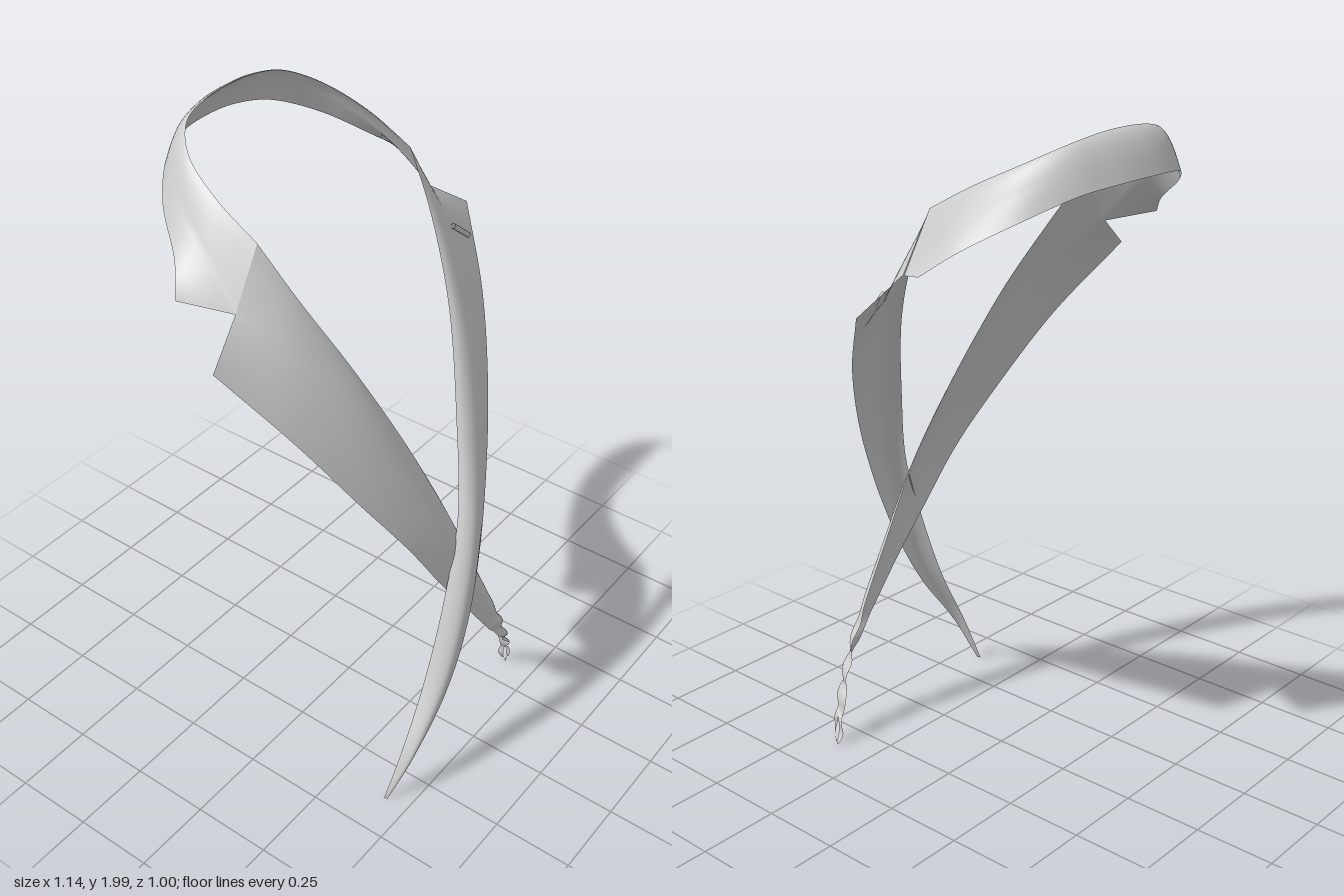
import * as THREE from 'three';

const cloth = new THREE.MeshStandardMaterial({ color: 0xcccccc, side: THREE.DoubleSide });
const V = (p) => new THREE.Vector3(...p);
const curve = (pts) => new THREE.CatmullRomCurve3(pts.map(V));

// Cloth strip lofted from a fold line to an outer edge.
// bend(p, u, v) shapes each point, skip(u, v) leaves out a cell.
function strip(name, fold, edge, nu, nv, bend, { flip = false, skip = () => false } = {}) {
  const a = curve(fold), b = curve(edge), pos = [], idx = [];
  for (let i = 0; i <= nu; i++) {
    const u = i / nu, pa = a.getPoint(u), pb = b.getPoint(u);
    for (let j = 0; j <= nv; j++) {
      const p = pa.clone().lerp(pb, j / nv);
      bend(p, u, j / nv);
      pos.push(p.x, p.y, p.z);
    }
  }
  for (let i = 0; i < nu; i++) for (let j = 0; j < nv; j++) {
    if (skip((i + 0.5) / nu, (j + 0.5) / nv)) continue;
    const k = i * (nv + 1) + j, n = k + nv + 1;
    if (flip) idx.push(k, k + 1, n, k + 1, n + 1, n);
    else idx.push(k, n, k + 1, k + 1, n, n + 1);
  }
  const g = new THREE.BufferGeometry();
  g.setAttribute('position', new THREE.Float32BufferAttribute(pos, 3));
  g.setIndex(idx);
  g.computeVertexNormals();
  const mesh = new THREE.Mesh(g, cloth);
  mesh.name = name;
  return mesh;
}

// Tent across the strip, peaking at v = m, used to pull the end into a notch
const tent = (v, m) => (v < m ? v / m : (1 - v) / (1 - m));
// Rounded roll that is fullest near the fold
const roll = (v) => Math.sin(Math.PI * Math.pow(v, 0.7));

const mirrored = (half) => [...half.slice(1).reverse().map(([x, y, z]) => [-x, y, z]), ...half];

function collar() {
  const fold = [[0, 2, -0.41], [0.1, 1.995, -0.407], [0.2, 1.975, -0.385], [0.28, 1.93, -0.31],
    [0.325, 1.865, -0.18], [0.335, 1.79, -0.04]];
  const edge = [[0, 1.88, -0.5], [0.11, 1.876, -0.49], [0.22, 1.858, -0.45], [0.34, 1.8, -0.36],
    [0.44, 1.72, -0.235], [0.517, 1.66, -0.167]];
  return strip('collar', mirrored(fold), mirrored(edge), 96, 16, (p, u, v) => {
    const t = Math.abs(2 * u - 1), end = Math.pow(t, 6) * tent(v, 0.5);
    const out = 0.013 * roll(v) * (1 - Math.pow(t, 6)), s = Math.sign(u - 0.5);
    p.x += s * (0.005 * end + out * t);
    p.y += -0.1 * end + out * 0.6;
    p.z += 0.07 * end - out * (1 - t);
  });
}

// Shared lapel shaping: notch at the top, soft roll down the length
function lapelBend(side, bulge) {
  return (p, u, v) => {
    const top = Math.pow(1 - u, 14) * tent(v, 0.45);
    const out = bulge * roll(v) * Math.pow(Math.sin(Math.PI * Math.min(u, 0.999)), 0.8);
    p.x += side * -0.008 * top;
    p.y += -0.045 * top + out * 0.25;
    p.z += -0.015 * top + out;
  };
}

function leftLapel() {
  const fold = [[0.335, 1.79, -0.04], [0.297, 1.64, 0.06], [0.215, 1.42, 0.19], [0.1, 1.13, 0.31],
    [0, 0.87, 0.395], [-0.1, 0.63, 0.425], [-0.2, 0.39, 0.435], [-0.31, 0.18, 0.437], [-0.375, 0.01, 0.42]];
  const edge = [[0.568, 1.53, 0.01], [0.45, 1.335, 0.155], [0.325, 1.13, 0.27], [0.2, 0.935, 0.36],
    [0.06, 0.72, 0.44], [-0.06, 0.53, 0.485], [-0.17, 0.355, 0.495], [-0.3, 0.17, 0.475], [-0.37, 0.01, 0.43]];
  return strip('leftLapel', fold, edge, 80, 20, lapelBend(1, 0.035));
}

function rightLapel() {
  const fold = [[-0.335, 1.79, -0.04], [-0.297, 1.64, 0.06], [-0.215, 1.42, 0.18], [-0.1, 1.13, 0.29],
    [0, 0.85, 0.375], [0.08, 0.65, 0.4], [0.18, 0.43, 0.415], [0.26, 0.26, 0.41], [0.315, 0.13, 0.385], [0.35, 0.01, 0.375]];
  const edge = [[-0.572, 1.53, 0], [-0.445, 1.3, 0.165], [-0.32, 1.07, 0.285], [-0.2, 0.87, 0.365],
    [-0.09, 0.68, 0.41], [0.01, 0.53, 0.435], [0.12, 0.37, 0.45], [0.225, 0.24, 0.445], [0.312, 0.12, 0.425], [0.345, 0.01, 0.405]];
  const base = lapelBend(-1, 0.025);
  // Creased lower length ending in two loose prongs
  const bend = (p, u, v) => {
    base(p, u, v);
    const w = THREE.MathUtils.smoothstep(u, 0.62, 0.75);
    p.z += 0.006 * w * Math.sin(u * 70 + v * 5);
    p.x += 0.004 * w * Math.sin(u * 95 + v * 3);
  };
  const skip = (u, v) => u > 0.92 && Math.abs(v - 0.5) < (u - 0.92) * 4;
  return strip('rightLapel', fold, edge, 90, 20, bend, { flip: true, skip });
}

// Stitched slit that rests on the lapel surface
function buttonhole(lapel) {
  const pos = lapel.geometry.attributes.position, q = new THREE.Vector3();
  const onCloth = (x, y) => {
    let best = Infinity, z = 0;
    for (let i = 0; i < pos.count; i++) {
      q.fromBufferAttribute(pos, i);
      const d = Math.hypot(q.x - x, q.y - y);
      if (d < best) { best = d; z = q.z; }
    }
    return new THREE.Vector3(x, y, z + 0.004);
  };
  const path = new THREE.LineCurve3(onCloth(0.393, 1.55), onCloth(0.478, 1.48));
  const mesh = new THREE.Mesh(new THREE.TubeGeometry(path, 8, 0.008, 8), cloth);
  mesh.name = 'buttonhole';
  return mesh;
}

export function createModel() {
  const group = new THREE.Group();
  group.name = 'jacketCollar';
  const left = leftLapel();
  group.add(collar(), left, rightLapel(), buttonhole(left));
  return group;
}
